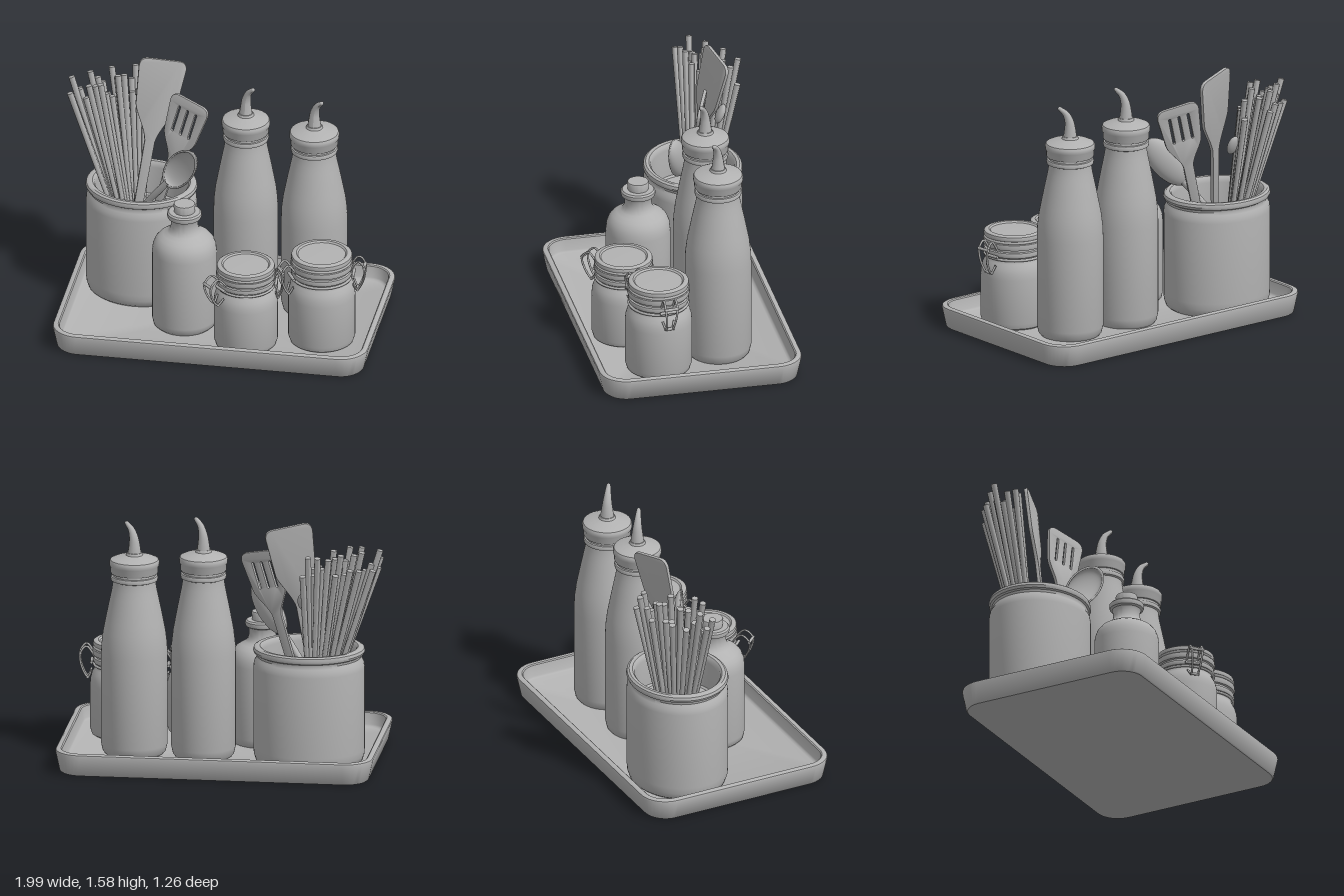
import * as THREE from 'three';
import { toCreasedNormals } from 'three/addons/utils/BufferGeometryUtils.js';

const FLOOR = 0.05;
const V = (x, y, z) => new THREE.Vector3(x, y, z);
const clay = new THREE.MeshStandardMaterial({ color: 0xb2b2b2, side: THREE.DoubleSide });
clay.name = 'grey clay';

function add(parent, name, geometry) {
  const mesh = new THREE.Mesh(geometry, clay);
  mesh.name = name;
  parent.add(mesh);
  return mesh;
}

function group(parent, name, x = 0, y = 0, z = 0) {
  const g = new THREE.Group();
  g.name = name;
  g.position.set(x, y, z);
  parent.add(g);
  return g;
}

// Turned solid from [radius, height] pairs, bottom to top
function turned(profile, zScale = 1) {
  const g = new THREE.LatheGeometry(profile.map(p => new THREE.Vector2(p[0], p[1])), 56);
  g.scale(1, 1, zScale);
  return toCreasedNormals(g, 0.65);
}

// Tube whose radius runs from r0 to r1 along the path
function taperTube(points, r0, r1, steps = 24, sides = 12) {
  const curve = new THREE.CatmullRomCurve3(points);
  const g = new THREE.TubeGeometry(curve, steps, 1, sides);
  const pos = g.attributes.position, p = V();
  for (let i = 0; i < pos.count; i++) {
    const t = Math.floor(i / (sides + 1)) / steps;
    const c = curve.getPointAt(t);
    p.fromBufferAttribute(pos, i).sub(c).multiplyScalar(r0 + (r1 - r0) * t).add(c);
    pos.setXYZ(i, p.x, p.y, p.z);
  }
  g.computeVertexNormals();
  return g;
}

// Put an object at "from" with its y axis toward "to" and its z axis toward "facing"
function aim(obj, from, to, facing) {
  const y = to.clone().sub(from).normalize();
  const z = facing.clone().addScaledVector(y, -facing.dot(y)).normalize();
  const x = y.clone().cross(z);
  obj.quaternion.setFromRotationMatrix(new THREE.Matrix4().makeBasis(x, y, z));
  obj.position.copy(from);
}

// Tray: rounded-rectangle loops following an [inset, height] profile
function trayGeometry() {
  const HX = 0.975, HZ = 0.63, R = 0.17, N = 10;
  const profile = [[0.034, 0], [0.026, 0.008], [0.001, 0.125], [0.004, 0.135], [0.012, 0.14],
    [0.034, 0.14], [0.041, 0.134], [0.052, 0.065], [0.058, 0.055], [0.07, FLOOR]];
  const verts = [], idx = [], M = 4 * (N + 1);
  for (const [inset, y] of profile) {
    const r = R - inset;
    for (let c = 0; c < 4; c++) for (let k = 0; k <= N; k++) {
      const a = (c + k / N) * Math.PI / 2;
      const sx = c === 0 || c === 3 ? 1 : -1, sz = c < 2 ? -1 : 1;
      verts.push(sx * (HX - R) + r * Math.cos(a), y, sz * (HZ - R) - r * Math.sin(a));
    }
  }
  const rows = profile.length, low = rows * M, high = low + 1;
  verts.push(0, 0, 0, 0, FLOOR, 0);
  for (let j = 0; j < M; j++) {
    const n = (j + 1) % M;
    for (let i = 0; i < rows - 1; i++) {
      const a = i * M + j, b = i * M + n;
      idx.push(a, b, b + M, a, b + M, a + M);
    }
    idx.push(low, n, j, high, (rows - 1) * M + j, (rows - 1) * M + n);
  }
  const g = new THREE.BufferGeometry();
  g.setAttribute('position', new THREE.Float32BufferAttribute(verts, 3));
  g.setIndex(idx);
  return toCreasedNormals(g, 0.65);
}

// Spatula: handle of length L flaring into a blade of half width w
function spatulaGeometry(L, w, neck, start, slots) {
  const h = 0.028, s = new THREE.Shape();
  s.moveTo(-h * 0.8, 0);
  s.lineTo(h * 0.8, 0);
  s.lineTo(h, neck * L);
  s.bezierCurveTo(h * 1.3, (neck + 0.07) * L, w * 0.8, start * L - 0.05, w * 0.85, start * L);
  s.lineTo(w, L - 0.05);
  s.quadraticCurveTo(w, L, w - 0.05, L);
  s.lineTo(-w + 0.05, L);
  s.quadraticCurveTo(-w, L, -w, L - 0.05);
  s.lineTo(-w * 0.85, start * L);
  s.bezierCurveTo(-w * 0.8, start * L - 0.05, -h * 1.3, (neck + 0.07) * L, -h, neck * L);
  for (let i = 0; i < slots; i++) {
    const x = (i - (slots - 1) / 2) * 0.06, y0 = L - 0.23, y1 = L - 0.07, r = 0.011;
    const hole = new THREE.Path();
    hole.moveTo(x - r, y0);
    hole.lineTo(x - r, y1);
    hole.absarc(x, y1, r, Math.PI, 0, true);
    hole.lineTo(x + r, y0);
    hole.absarc(x, y0, r, 0, -Math.PI, true);
    s.holes.push(hole);
  }
  return toCreasedNormals(new THREE.ExtrudeGeometry(s, {
    depth: 0.014, bevelSize: 0.004, bevelThickness: 0.004, bevelSegments: 2, curveSegments: 8
  }), 0.6);
}

function pourBottle(parent, name, x, z, sr, sy) {
  const g = group(parent, name, x, FLOOR, z);
  g.scale.set(sr, sy, sr);
  add(g, 'bottleBody', turned([[0, 0], [0.175, 0], [0.187, 0.015], [0.197, 0.06], [0.197, 0.64],
    [0.194, 0.71], [0.185, 0.79], [0.172, 0.86], [0.157, 0.94], [0.143, 1.01], [0.133, 1.06],
    [0.127, 1.1], [0.126, 1.115], [0.138, 1.12], [0.141, 1.135], [0.136, 1.147], [0.128, 1.15], [0.128, 1.17]]));
  add(g, 'bottleCap', turned([[0.125, 1.165], [0.137, 1.165], [0.141, 1.172], [0.141, 1.205],
    [0.147, 1.215], [0.148, 1.24], [0.142, 1.252], [0.12, 1.262], [0.08, 1.271], [0.05, 1.28], [0.044, 1.295], [0, 1.295]]));
  const tip = V(0.05, 1.475, 0.035);
  add(g, 'spout', taperTube([V(0, 1.26, 0), V(0, 1.34, 0), V(0.004, 1.39, 0.003), V(0.02, 1.44, 0.015), tip], 0.045, 0.013));
  add(g, 'spoutTip', new THREE.SphereGeometry(0.013, 12, 8)).position.copy(tip);
}

// Wire clasp standing out from a jar toward (dx, dz)
function clasp(jar, dx, dz, reach) {
  const g = group(jar, 'wireClasp');
  g.rotation.y = Math.atan2(-dz, dx);
  for (const s of [-1, 1]) {
    const z = s * 0.035;
    add(g, 'claspWire', taperTube([V(0.165, 0.45, z), V(0.18 + reach * 0.5, 0.51, z), V(0.18 + reach, 0.47, z),
      V(0.19 + reach * 0.8, 0.4, z * 0.8), V(0.18 + reach * 0.4, 0.33, z * 0.6), V(0.185, 0.37, z)], 0.0065, 0.0065, 28, 8));
  }
  for (const [px, py, l] of [[0.18 + reach, 0.47, 0.085], [0.18 + reach * 0.4, 0.33, 0.055], [0.185, 0.42, 0.1]]) {
    const bar = add(g, 'claspBar', new THREE.CylinderGeometry(0.009, 0.009, l, 8));
    bar.rotation.x = Math.PI / 2;
    bar.position.set(px, py, 0);
  }
}

function clipJar(parent, name, x, z, sr, sy, clasps) {
  const g = group(parent, name, x, FLOOR, z);
  g.scale.set(sr, sy, sr);
  add(g, 'jarBody', turned([[0, 0], [0.17, 0], [0.185, 0.01], [0.195, 0.04], [0.195, 0.29], [0.192, 0.325],
    [0.183, 0.355], [0.17, 0.378], [0.162, 0.392], [0.161, 0.41], [0.173, 0.415], [0.178, 0.428],
    [0.175, 0.443], [0.165, 0.447], [0.165, 0.46]]));
  add(g, 'jarLid', turned([[0.162, 0.457], [0.178, 0.46], [0.182, 0.472], [0.18, 0.492], [0.168, 0.498], [0.168, 0.508],
    [0.175, 0.512], [0.178, 0.522], [0.175, 0.536], [0.166, 0.542], [0.147, 0.542], [0.138, 0.533], [0, 0.536]]));
  for (const [r, y] of [[0.172, 0.403], [0.172, 0.503]]) {
    const ring = add(g, 'wireRing', new THREE.TorusGeometry(r, 0.008, 8, 48));
    ring.rotation.x = Math.PI / 2;
    ring.position.y = y;
  }
  for (const c of clasps) clasp(g, ...c);
}

export function createModel() {
  const model = new THREE.Group();
  model.name = 'kitchenTray';
  add(model, 'tray', trayGeometry()).position.x = 0.025;

  // Oval crock with a rolled rim
  const crock = group(model, 'crock', -0.53, 0, -0.25);
  add(crock, 'crockBody', turned([[0, 0.05], [0.305, 0.05], [0.325, 0.065], [0.337, 0.1], [0.34, 0.14], [0.34, 0.65],
    [0.336, 0.68], [0.325, 0.7], [0.318, 0.715], [0.322, 0.73], [0.335, 0.737], [0.342, 0.753], [0.337, 0.771],
    [0.322, 0.78], [0.3, 0.778], [0.287, 0.765], [0.283, 0.74], [0.283, 0.56], [0.27, 0.55], [0, 0.55]], 0.885));

  // Chopsticks fanned toward the back left, in three arcs
  const sticks = group(model, 'chopsticks');
  [[1, 13, 0], [0.78, 9, 0.4], [0.55, 6, 0.2]].forEach(([spread, count, shift], row) => {
    for (let i = 0; i < count; i++) {
      const a = (183 - 99 * (i + shift) / count) * Math.PI / 180;
      const wob = Math.sin(i * 2.7 + row * 1.9);
      const dx = 0.44 * spread * Math.cos(a) + 0.02 * wob, dz = -0.29 * spread * Math.sin(a) + 0.015 * wob;
      const tip = V(-0.53 + dx, 1.35 + 0.07 * Math.sin(i * 4.1 + row), -0.25 + dz);
      const base = V(-0.54 + dx * 0.35, 0.52, -0.25 + dz * 0.4);
      const len = tip.distanceTo(base);
      const g = new THREE.CylinderGeometry(0.02, 0.014, len, 9);
      g.translate(0, len / 2, 0);
      aim(add(sticks, 'chopstick', toCreasedNormals(g, 0.8)), base, tip, V(0, 0, 1));
    }
  });

  // Utensils
  const tools = group(model, 'utensils');
  aim(add(tools, 'spatula', spatulaGeometry(1.06, 0.143, 0.5, 0.72, 0)), V(-0.56, 0.52, -0.2), V(-0.42, 1.53, -0.38), V(0.26, 0, 0.95));
  aim(add(tools, 'slottedSpatula', spatulaGeometry(0.87, 0.13, 0.52, 0.72, 3)), V(-0.45, 0.52, -0.2), V(-0.22, 1.35, -0.25), V(-0.37, 0, 0.92));
  const spoon = group(tools, 'spoon');
  aim(spoon, V(-0.265, 0.965, -0.09), V(-0.155, 1.12, -0.025), V(-0.35, 0.25, 0.9));
  for (const k of [1, 0.9]) {
    const bowl = new THREE.SphereGeometry(1, 28, 10, 0, Math.PI * 2, Math.PI / 2, Math.PI / 2);
    bowl.rotateX(Math.PI / 2);
    bowl.scale(0.095 * k, 0.185 * k, 0.055 * k);
    add(spoon, 'spoonBowl', bowl);
  }
  const rim = new THREE.TorusGeometry(0.95, 0.06, 8, 40);
  rim.scale(0.095, 0.185, 0.1);
  add(spoon, 'spoonRim', rim);
  add(spoon, 'spoonHandle', taperTube([V(0, -0.16, -0.01), V(0, -0.3, 0), V(0, -0.48, 0)], 0.022, 0.02));
  const small = add(tools, 'smallSpoonBowl', new THREE.SphereGeometry(1, 18, 12));
  small.scale.set(0.04, 0.065, 0.025);
  small.rotation.x = -0.4;
  small.position.set(-0.52, 1.1, -0.42);

  // Corked bottle
  const corked = group(model, 'corkedBottle', -0.19, FLOOR, 0.165);
  add(corked, 'corkedBody', turned([[0, 0], [0.175, 0], [0.19, 0.015], [0.197, 0.05], [0.197, 0.5], [0.193, 0.54],
    [0.18, 0.575], [0.158, 0.602], [0.13, 0.62], [0.105, 0.633], [0.09, 0.65], [0.083, 0.675], [0.082, 0.71],
    [0.088, 0.725], [0.102, 0.732], [0.106, 0.745], [0.105, 0.76], [0.096, 0.77], [0.06, 0.77]]));
  add(corked, 'cork', turned([[0.062, 0.76], [0.067, 0.815], [0.063, 0.823], [0, 0.823]]));

  pourBottle(model, 'tallBottle', 0.127, -0.185, 1, 1);
  pourBottle(model, 'shortBottle', 0.553, -0.172, 1.03, 0.97);
  clipJar(model, 'smallJar', 0.222, 0.345, 1, 1, [[-0.72, 0.7, 0.1], [0.95, -0.1, 0.045]]);
  clipJar(model, 'largeJar', 0.67, 0.225, 1.05, 1.1, [[-0.88, 0.47, 0.07], [1, -0.1, 0.07]]);
  return model;
}
